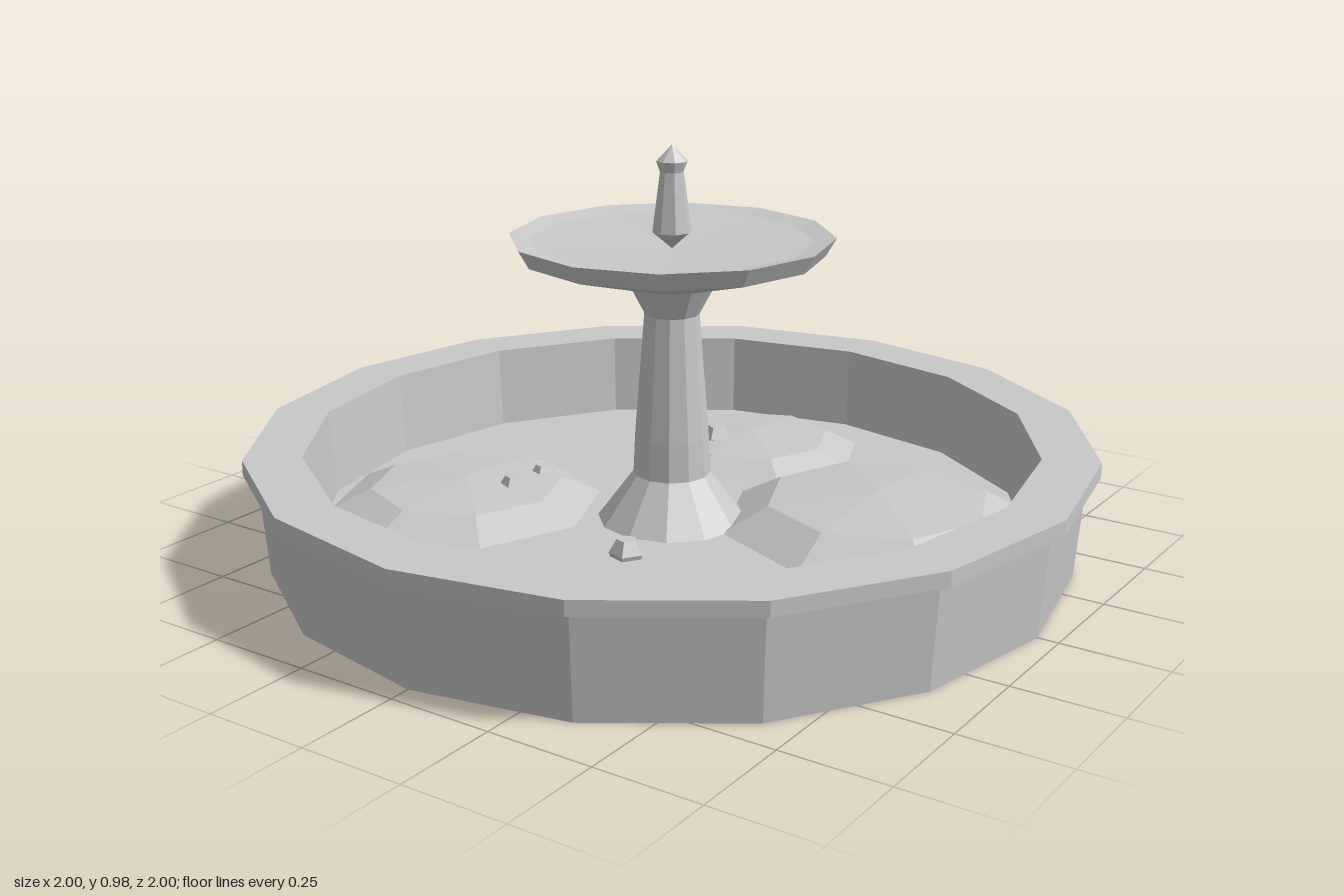
import * as THREE from 'three';

export function createModel() {
  const group = new THREE.Group();
  group.name = 'fountain';
  const stone = new THREE.MeshStandardMaterial({ color: 0xc8c8c8, flatShading: true });
  stone.name = 'pale grey stone';

  const FLOOR = 0.075;

  function add(name, geometry, x = 0, y = 0, z = 0) {
    const mesh = new THREE.Mesh(geometry, stone);
    mesh.name = name;
    mesh.position.set(x, y, z);
    group.add(mesh);
    return mesh;
  }

  // Faceted turned shape from [radius, height] pairs
  const turned = (profile, sides) =>
    new THREE.LatheGeometry(profile.map(([r, y]) => new THREE.Vector2(r, y)), sides);

  // Basin: underside, tapered wall, overhanging rim, inner wall, floor
  add('basin', turned([
    [0, 0], [0.95, 0], [0.97, 0.245], [1, 0.245], [1, 0.28],
    [0.865, 0.28], [0.85, FLOOR], [0, FLOOR],
  ], 16));

  // Column with flared foot and capital
  add('column', turned([
    [0.178, FLOOR], [0.092, 0.19], [0.088, 0.28], [0.065, 0.58], [0.102, 0.65],
  ], 12));

  // Shallow upper bowl
  add('upperBowl', turned([
    [0, 0.65], [0.102, 0.65], [0.355, 0.722], [0.38, 0.765], [0.33, 0.755], [0, 0.735],
  ], 12));

  // Finial
  add('finial', turned([
    [0, 0.735], [0.046, 0.775], [0.028, 0.915], [0.037, 0.94], [0, 0.977],
  ], 8));

  // Low sediment mounds: x, z, radius, height
  const mounds = [
    [-0.1, -0.53, 0.28, 0.055],
    [0.43, -0.24, 0.38, 0.085],
    [-0.48, 0.19, 0.33, 0.062],
  ];
  for (const [x, z, r, h] of mounds) {
    add('mound', turned([[r, 0], [r * 0.71, h * 0.71], [0, h]], 8), x, FLOOR, z);
  }

  // Pebbles: x, z, radius, base height above the floor
  const pebbles = [
    [0.48, 0.02, 0.036, 0], [0.425, 0.015, 0.025, 0], [0.555, 0.255, 0.03, 0],
    [0.215, 0.48, 0.045, 0], [-0.22, 0.55, 0.034, 0], [-0.165, -0.45, 0.04, 0.035],
    [-0.365, 0.15, 0.038, 0.035], [-0.37, 0.025, 0.034, 0.03], [0.06, 0.27, 0.042, 0],
  ];
  pebbles.forEach(([x, z, r, lift], i) => {
    const pebble = add('pebble', turned([
      [r * 0.8, -r * 0.3], [r, r * 0.25], [r * 0.55, r], [0, r],
    ], 5), x, FLOOR + lift, z);
    pebble.rotation.y = i * 1.3;
  });

  return group;
}
